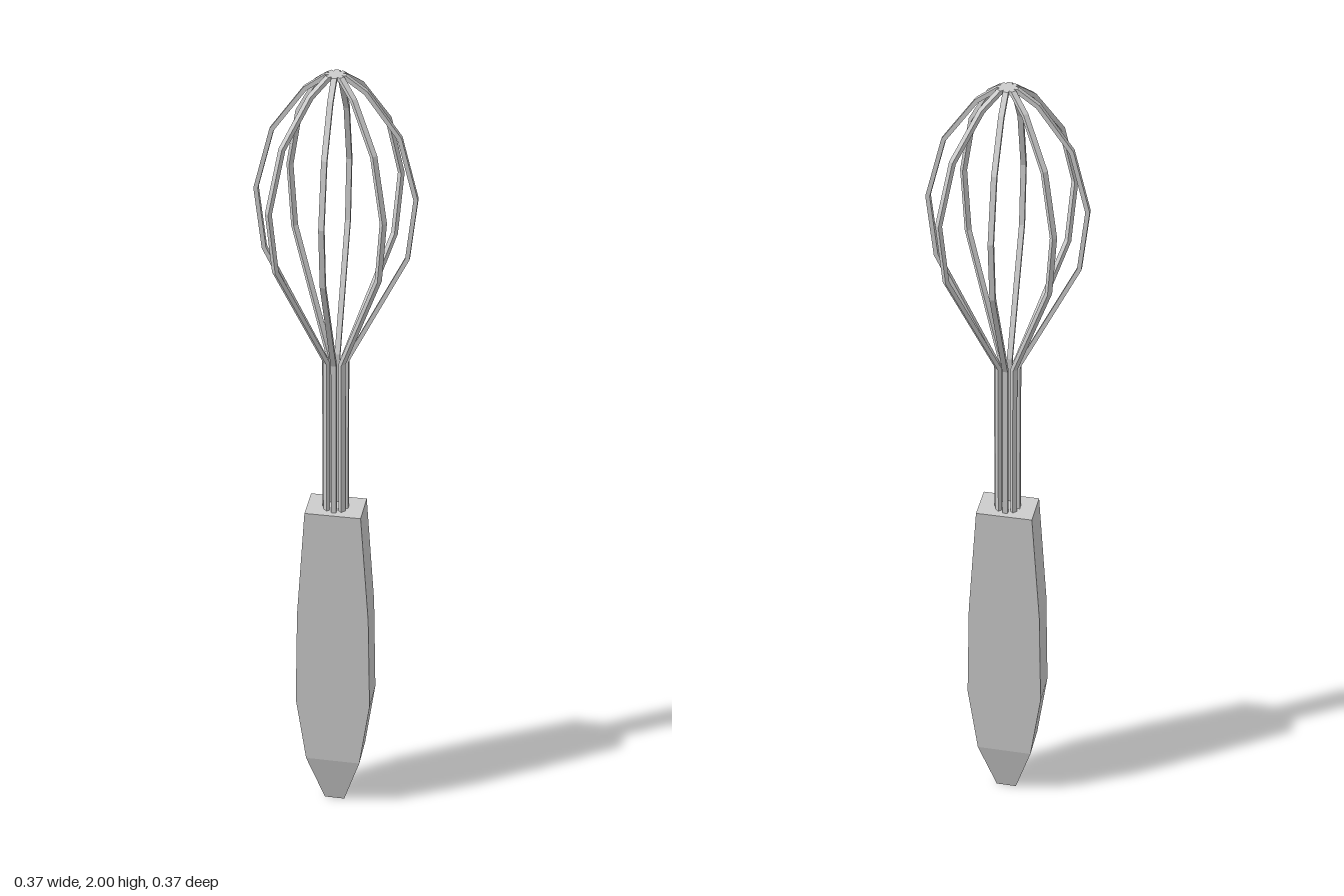
import * as THREE from 'three';

const material = new THREE.MeshStandardMaterial({ color: 0xcccccc, flatShading: true });

// Handle: a box whose rows follow [y, half width, half depth], bottom to top
function makeHandle() {
  const rows = [
    [0, 0.025, 0.017],
    [0.14, 0.068, 0.045],
    [0.32, 0.093, 0.045],
    [0.58, 0.088, 0.045],
    [0.875, 0.068, 0.045],
  ];
  const geometry = new THREE.BoxGeometry(2, rows.length - 1, 2, 1, rows.length - 1, 1);
  const pos = geometry.attributes.position;
  for (let i = 0; i < pos.count; i++) {
    const [y, w, d] = rows[Math.round(pos.getY(i) + (rows.length - 1) / 2)];
    pos.setXYZ(i, pos.getX(i) * w, y, pos.getZ(i) * d);
  }
  geometry.computeVertexNormals();
  const handle = new THREE.Mesh(geometry, material);
  handle.name = 'handle';
  return handle;
}

// Wire loop: a mitred band around an arched centre line, extruded to the wire width
function makeWireGeometry(thickness, width) {
  const half = [
    [0.026, 0.86], [0.026, 1.28], [0.165, 1.56], [0.182, 1.71],
    [0.144, 1.857], [0.068, 1.962], [0.022, 1.995],
  ];
  const mirrored = half.map(([x, y]) => [-x, y]).reverse();
  const path = [...half, ...mirrored].map(([x, y]) => new THREE.Vector2(x, y));
  const offset = (side) => path.map((p, i) => {
    const a = p.clone().sub(path[Math.max(i - 1, 0)]).normalize();
    const b = path[Math.min(i + 1, path.length - 1)].clone().sub(p).normalize();
    const along = a.clone().add(b).normalize();
    const cos = along.dot(a.lengthSq() > 0 ? a : b);
    const out = new THREE.Vector2(along.y, -along.x);
    return p.clone().addScaledVector(out, side * thickness / 2 / cos);
  });
  const shape = new THREE.Shape([...offset(1), ...offset(-1).reverse()]);
  const geometry = new THREE.ExtrudeGeometry(shape, { depth: width, bevelEnabled: false });
  return geometry.translate(0, 0, -width / 2);
}

export function createModel() {
  const model = new THREE.Group();
  model.name = 'whisk';
  model.add(makeHandle());

  // Four crossing loops form the balloon head
  const head = new THREE.Group();
  head.name = 'wireHead';
  const wire = makeWireGeometry(0.01, 0.0125);
  for (let i = 0; i < 4; i++) {
    const loop = new THREE.Mesh(wire, material);
    loop.name = `wireLoop${i + 1}`;
    loop.rotation.y = i * Math.PI / 4;
    head.add(loop);
  }
  model.add(head);
  return model;
}
